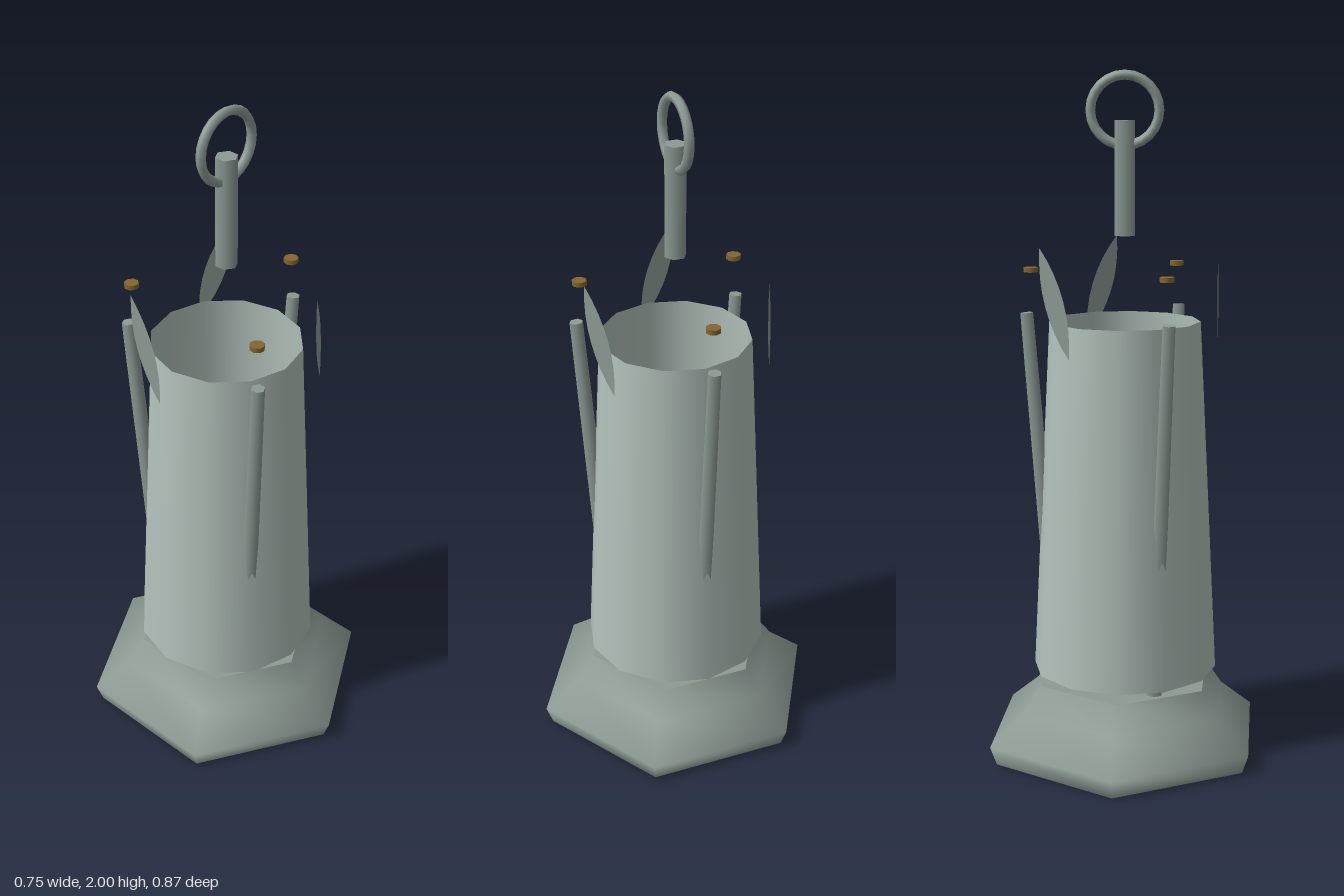
import * as THREE from 'three';

const V3 = (x, y, z) => new THREE.Vector3(x, y, z);

function material(name, color, side = THREE.FrontSide) {
  const m = new THREE.MeshStandardMaterial({ color, side });
  m.name = name;
  return m;
}

export function createModel() {
  const metal = material('grey green metal', 0x8d9a94, THREE.DoubleSide);
  const pale = material('pale shade', 0xb3c1bb, THREE.DoubleSide);
  const teal = material('teal crystal', 0x6cc0ac);
  teal.flatShading = true;
  const brass = material('brass', 0x86652f);

  const root = new THREE.Group();
  root.name = 'lantern';
  function add(name, geometry, mat, parent = root) {
    const mesh = new THREE.Mesh(geometry, mat);
    mesh.name = name;
    parent.add(mesh);
    return mesh;
  }

  // Hexagonal base: smooth flared sides with flat caps
  const base = new THREE.Group();
  base.name = 'base';
  root.add(base);
  const profile = [[0.415, 0], [0.435, 0.055], [0.33, 0.14], [0.275, 0.22]];
  add('baseSides', new THREE.LatheGeometry(profile.map(([r, y]) => new THREE.Vector2(r, y)), 6), metal, base);
  const cap = (r, y, up) => new THREE.CircleGeometry(r, 6, Math.PI / 2)
    .rotateX(up ? -Math.PI / 2 : Math.PI / 2).translate(0, y, 0);
  add('baseTop', cap(0.275, 0.22, true), metal, base);
  add('baseBottom', cap(0.415, 0, false), metal, base);

  // Open tapered shade
  add('shade', new THREE.CylinderGeometry(0.22, 0.272, 1.04, 12, 1, true), pale)
    .position.y = 0.77;

  // Crystal hidden inside the shade
  const crystal = add('crystal', new THREE.OctahedronGeometry(1), teal);
  crystal.scale.set(0.132, 0.26, 0.132);
  crystal.rotation.y = 0.31;
  crystal.position.y = 0.75;

  // Three leaning rods passing through the shade, each with a brass stud above
  const foot = V3(0.198, 0.18, 0), tip = V3(0.286, 1.31, 0);
  const lean = tip.clone().sub(foot);
  for (let i = 0; i < 3; i++) {
    const arm = new THREE.Group();
    arm.name = 'arm' + (i + 1);
    arm.rotation.y = i * Math.PI * 2 / 3;
    root.add(arm);
    const rod = add('rod', new THREE.CylinderGeometry(0.02, 0.025, lean.length(), 6), metal, arm);
    rod.position.copy(foot).add(tip).multiplyScalar(0.5);
    rod.quaternion.setFromUnitVectors(V3(0, 1, 0), lean.clone().normalize());
    add('stud', new THREE.CylinderGeometry(0.0215, 0.0215, 0.014, 8), brass, arm)
      .position.set(0.273, 1.435, 0);
  }

  // Three flat slanted leaves between the rods
  const leafShape = new THREE.Shape();
  leafShape.moveTo(0, 0);
  leafShape.quadraticCurveTo(0.066, 0.16, 0, 0.322);
  leafShape.quadraticCurveTo(-0.066, 0.16, 0, 0);
  const leafGeometry = new THREE.ShapeGeometry(leafShape, 8)
    .rotateZ(0.315).translate(0, 1.208, 0.27);
  for (let i = 0; i < 3; i++) {
    add('leaf' + (i + 1), leafGeometry, metal).rotation.y = Math.PI / 6 + i * Math.PI * 2 / 3;
  }

  // Hanging pin and ring
  add('pin', new THREE.CylinderGeometry(0.032, 0.032, 0.325, 6), metal).position.y = 1.6975;
  add('ring', new THREE.TorusGeometry(0.098, 0.014, 6, 24), metal).position.y = 1.888;

  return root;
}
